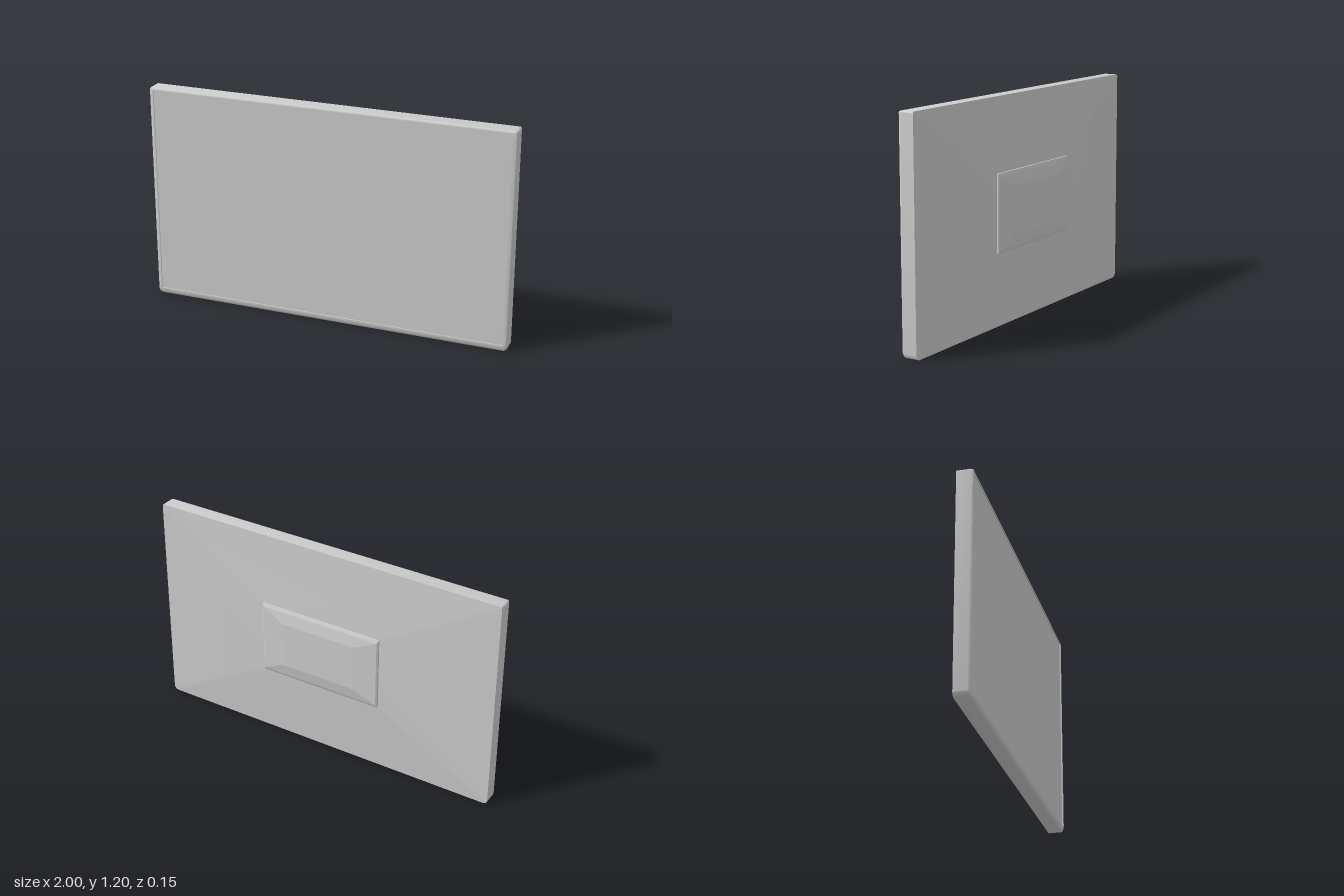
import * as THREE from 'three';
import { toCreasedNormals } from 'three/addons/utils/BufferGeometryUtils.js';

const ARC = 6;

// Rounded rectangle cross-section at depth z, counter-clockwise seen from the front.
function section(z, x0, x1, y0, y1, rBottom = 0, rTop = 0) {
  const corners = [
    [x1 - rBottom, y0 + rBottom, rBottom, -Math.PI / 2],
    [x1 - rTop, y1 - rTop, rTop, 0],
    [x0 + rTop, y1 - rTop, rTop, Math.PI / 2],
    [x0 + rBottom, y0 + rBottom, rBottom, Math.PI],
  ];
  const loop = [];
  for (const [cx, cy, r, start] of corners) {
    for (let i = 0; i <= ARC; i++) {
      const a = start + (i / ARC) * Math.PI / 2;
      loop.push(new THREE.Vector3(cx + r * Math.cos(a), cy + r * Math.sin(a), z));
    }
  }
  return loop;
}

// Skin a row of sections running from back to front, with optional flat caps.
function loft(loops, { backCap = false, frontCap = false, crease = 0.6 } = {}) {
  const pos = [];
  const tri = (a, b, c) => {
    const area = b.clone().sub(a).cross(c.clone().sub(a)).length();
    if (area > 1e-9) for (const p of [a, b, c]) pos.push(p.x, p.y, p.z);
  };
  const n = loops[0].length;
  for (let k = 0; k < loops.length - 1; k++) {
    for (let i = 0; i < n; i++) {
      const j = (i + 1) % n, a = loops[k], b = loops[k + 1];
      tri(a[i], a[j], b[j]);
      tri(a[i], b[j], b[i]);
    }
  }
  const first = loops[0], last = loops[loops.length - 1];
  for (let i = 1; i < n - 1; i++) {
    if (backCap) tri(first[0], first[i + 1], first[i]);
    if (frontCap) tri(last[0], last[i], last[i + 1]);
  }
  const geo = new THREE.BufferGeometry();
  geo.setAttribute('position', new THREE.Float32BufferAttribute(pos, 3));
  return toCreasedNormals(geo, crease);
}

export function createModel() {
  const group = new THREE.Group();
  const grey = new THREE.MeshStandardMaterial({ color: 0xcccccc });
  const add = (name, geometry) => {
    const mesh = new THREE.Mesh(geometry, grey);
    mesh.name = name;
    group.add(mesh);
  };

  const H = 1.195;
  const outline = (z) => section(z, -1, 1, 0, H, 0.025, 0.01);
  const screenEdge = (z) => section(z, -0.978, 0.978, 0.035, H - 0.014);

  // Casing: side walls, rounded front edge (deeper along the bottom), bezel and recess wall
  add('casing', loft([
    outline(-0.012),
    outline(0.06),
    section(0.066, -0.999, 0.999, 0.004, H - 0.001, 0.024, 0.01),
    section(0.071, -0.997, 0.997, 0.013, H - 0.003, 0.022, 0.009),
    section(0.074, -0.992, 0.992, 0.025, H - 0.008, 0.018, 0.006),
    screenEdge(0.074),
    screenEdge(0.068),
  ]));

  // Flat screen set slightly behind the bezel
  add('screen', loft([screenEdge(0.068)], { frontCap: true }));

  // Back cover: shallow pyramid rising to the mount
  add('backCover', loft([
    section(-0.047, -0.36, 0.34, 0.4, 0.812),
    outline(-0.012),
  ], { backCap: true, crease: 0.07 }));

  // Bevelled mount block
  add('mountBlock', loft([
    section(-0.074, -0.22, 0.21, 0.478, 0.735),
    section(-0.062, -0.352, 0.332, 0.415, 0.797),
    section(-0.056, -0.36, 0.34, 0.4, 0.812),
    section(-0.046, -0.36, 0.34, 0.4, 0.812),
  ], { backCap: true, crease: 0.05 }));

  return group;
}
